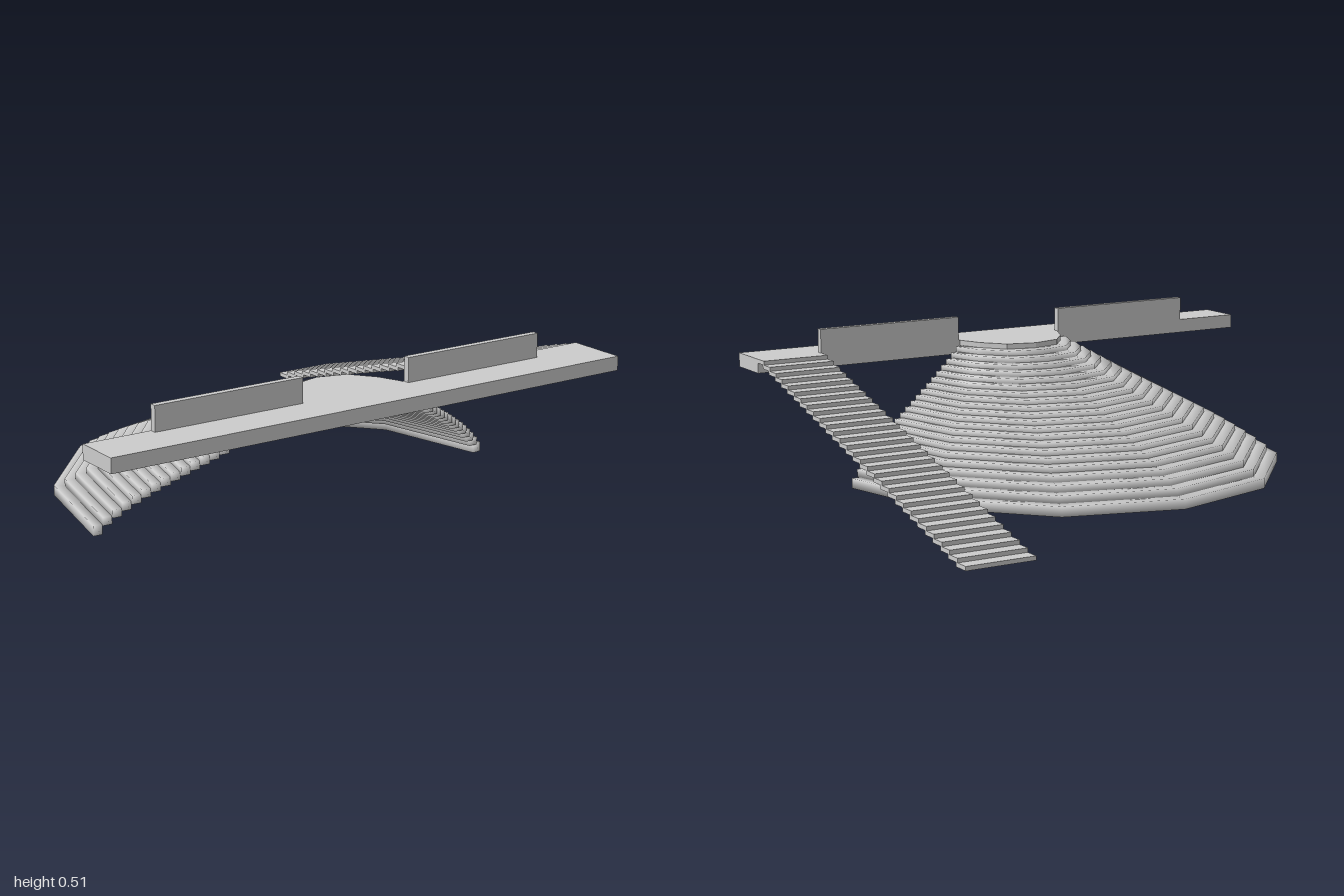
import * as THREE from 'three';
import { mergeVertices } from 'three/addons/utils/BufferGeometryUtils.js';

const TOP = 0.425;   // walking level
const FAN = 21;      // steps in the fan staircase
const FLIGHT = 29;   // steps in the straight flight

// Right half of the fan's edge lines, as [x, z] from the open end to the middle
const OUTER = [[0.795, 0.362], [0.7, -0.06], [0.405, -0.39], [0, -0.508]];
const INNER = [[0.205, 0.657], [0.17, 0.575], [0.105, 0.493], [0, 0.465]];

const material = new THREE.MeshStandardMaterial({ color: 0xcccccc });

function add(parent, name, geometry) {
  const mesh = new THREE.Mesh(geometry, material);
  mesh.name = name;
  parent.add(mesh);
  return mesh;
}

// Box given by its limits on each axis
function block(parent, name, x0, x1, y0, y1, z0, z1) {
  const mesh = add(parent, name, new THREE.BoxGeometry(x1 - x0, y1 - y0, z1 - z0));
  mesh.position.set((x0 + x1) / 2, (y0 + y1) / 2, (z0 + z1) / 2);
}

// Flat [x, z] outline given thickness between y0 and y1
function slab(points, y0, y1) {
  const shape = new THREE.Shape(points.map(([x, z]) => new THREE.Vector2(x, -z)));
  const geometry = new THREE.ExtrudeGeometry(shape, { depth: y1 - y0, bevelEnabled: false });
  geometry.rotateX(-Math.PI / 2);
  return geometry.translate(0, y0, 0);
}

// Share the corners so that the shading runs softly around the edges
function softened(geometry) {
  geometry.deleteAttribute('normal');
  geometry.deleteAttribute('uv');
  const soft = mergeVertices(geometry);
  soft.computeVertexNormals();
  return soft;
}

// Edge line between the outer (t = 0) and inner (t = 1) lines
const edge = (t) => OUTER.map(([x, z], i) => [
  THREE.MathUtils.lerp(x, INNER[i][0], t),
  THREE.MathUtils.lerp(z, INNER[i][1], t),
]);

// Height of the fan, a little steeper near the ground
const fanHeight = (t) => THREE.MathUtils.lerp(0.035, TOP, t) + 0.2 * t * (1 - t) ** 3;

// Complete a half line with its mirror image
const mirrored = (half) => [...half, ...half.slice(0, -1).reverse().map(([x, z]) => [-x, z])];

export function createModel() {
  const model = new THREE.Group();

  // Long raised walkway and the rounded landing behind it
  block(model, 'walkway', -1, 1, 0.375, TOP, 0.662, 0.826);
  const landing = [...mirrored(edge(1)), [-0.205, 0.662], [0.205, 0.662]];
  add(model, 'landing', slab(landing, TOP - 0.02, TOP));

  // Low parapets on either side of the landing
  for (const [name, x] of [['leftParapet', 0.485], ['rightParapet', -0.485]]) {
    block(model, name, x - 0.275, x + 0.275, TOP, 0.51, 0.662, 0.685);
  }

  // Fan staircase of thin faceted bands with toothed ends
  const fan = new THREE.Group();
  fan.name = 'fanStaircase';
  model.add(fan);
  for (let i = 0; i < FAN; i++) {
    const outer = edge(i / FAN);
    const inner = edge((i + 1.2) / FAN);
    inner[0] = [outer[0][0] - 0.033, outer[0][1] + 0.002];
    const y1 = fanHeight(i / FAN);
    const y0 = i === 0 ? 0 : y1 - 0.028;
    const outline = [...mirrored(outer), ...mirrored(inner).reverse()];
    add(fan, 'fanStep', softened(slab(outline, y0, y1)));
  }

  // Straight flight of open, overlapping treads
  const flight = new THREE.Group();
  flight.name = 'straightFlight';
  model.add(flight);
  const rise = TOP / (FLIGHT + 1);
  const going = (0.612 + 0.828) / FLIGHT;
  for (let i = 0; i < FLIGHT; i++) {
    const z = -0.828 + i * going;
    block(flight, 'tread', 0.758, 1, i * rise, (i + 1) * rise, z, z + going * 1.2);
  }
  block(flight, 'topTread', 0.758, 1, TOP - rise, TOP, 0.612, 0.662);

  return model;
}
